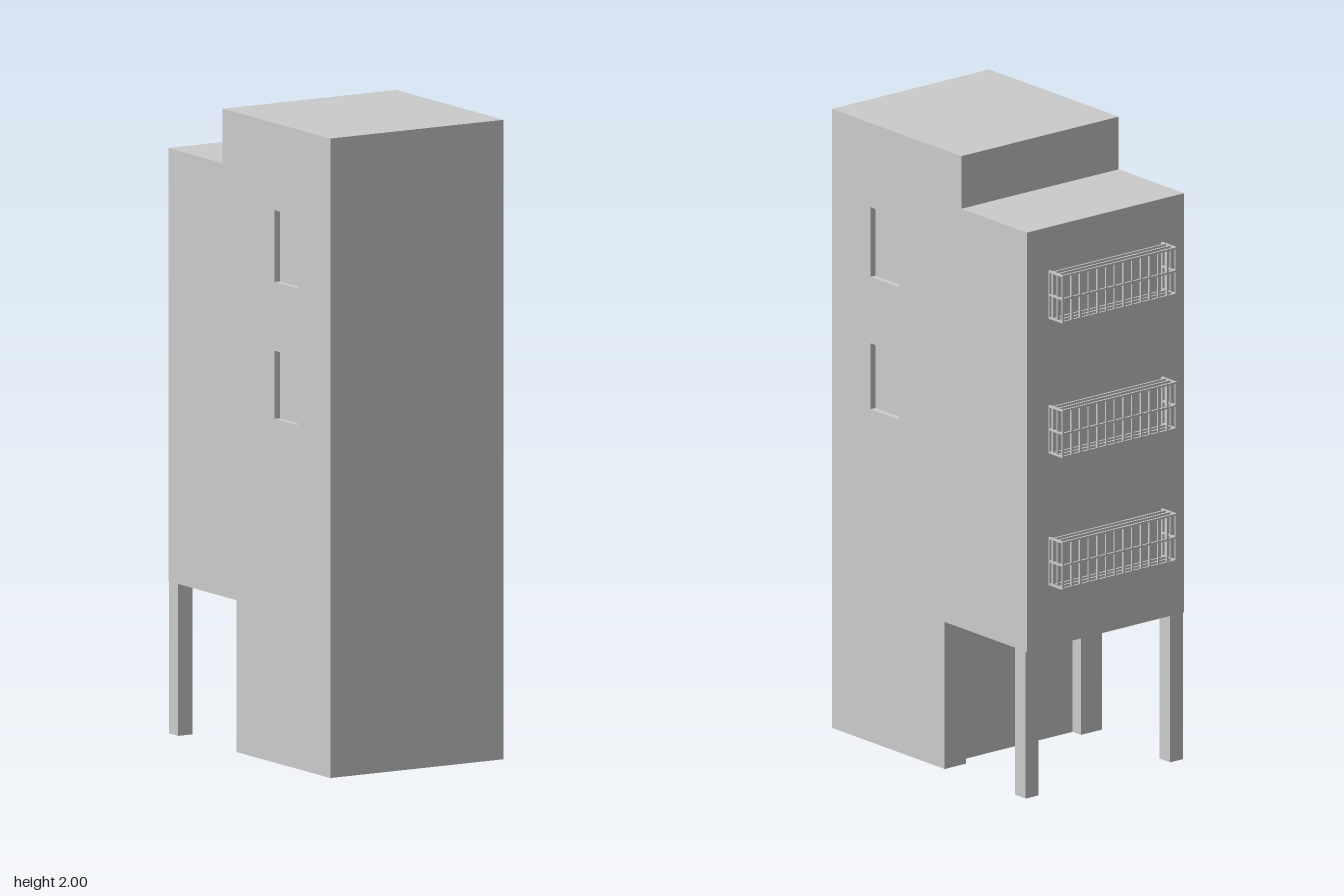
import * as THREE from 'three';

const HALF = 0.315;   // half width of the building
const SKIN = 0.02;    // depth of the side window niches
const FRONT = 0.505, BACK = -0.436;

const material = new THREE.MeshStandardMaterial({ color: 0xcccccc, flatShading: true });
const thinMaterial = new THREE.MeshStandardMaterial({ color: 0xcccccc, flatShading: true, side: THREE.DoubleSide });

function addMesh(parent, geometry, name, mat = material) {
  const mesh = new THREE.Mesh(geometry, mat);
  mesh.name = name;
  parent.add(mesh);
  return mesh;
}

// Box given by its lowest and highest corners
function addBox(parent, name, [x0, y0, z0], [x1, y1, z1]) {
  const mesh = addMesh(parent, new THREE.BoxGeometry(x1 - x0, y1 - y0, z1 - z0), name);
  mesh.position.set((x0 + x1) / 2, (y0 + y1) / 2, (z0 + z1) / 2);
  return mesh;
}

const toShape = (points) => new THREE.Shape(points.map(([a, b]) => new THREE.Vector2(a, b)));

// Side outline of the upper storeys, as (-z, y)
function sideProfile() {
  return toShape([
    [-FRONT, 0.4], [0.04, 0.4], [0.04, 0.475], [-BACK, 0.475],
    [-BACK, 1.83], [0.12, 1.83], [0.12, 2], [-FRONT, 2],
  ]);
}

// Extrudes a side outline along x, starting at x0
function extrudeAcross(shape, x0, width) {
  return new THREE.ExtrudeGeometry(shape, { depth: width, bevelEnabled: false })
    .rotateY(Math.PI / 2).translate(x0, 0, 0);
}

// Railing cage, with its base at y = 0
function createRailing() {
  const cage = new THREE.Group();
  const t = 0.003, x = 0.226, height = 0.155, outer = -0.502;
  const depths = [-0.455, -0.478, outer];

  const bar = (name, a, b) => addBox(cage, name,
    a.map((v, i) => Math.min(v, b[i]) - t), a.map((v, i) => Math.max(v, b[i]) + t));

  // long rails at the top and bottom, and one across the middle
  for (const y of [t, height - t]) {
    for (const z of depths) bar('longRail', [-x, y, z], [x, y, z]);
  }
  bar('middleRail', [-x, height / 2, outer], [x, height / 2, outer]);

  // ends
  for (const side of [-x, x]) {
    for (const y of [t, height / 2, height - t]) bar('endRail', [side, y, BACK], [side, y, outer]);
    for (const z of [BACK - t, ...depths]) bar('endBaluster', [side, t, z], [side, height - t, z]);
  }

  // balusters along the face
  const count = 13;
  for (let i = 1; i < count; i++) {
    const bx = -x + (2 * x * i) / count;
    bar('baluster', [bx, t, outer], [bx, height - t, outer]);
  }
  return cage;
}

export function createModel() {
  const model = new THREE.Group();
  model.name = 'apartmentBuilding';

  // Upper storeys: solid core between two side walls with window niches
  addMesh(model, extrudeAcross(sideProfile(), -HALF + SKIN, 2 * (HALF - SKIN)), 'upperStoreys');
  const wall = sideProfile();
  for (const [y0, y1] of [[1.075, 1.288], [1.503, 1.728]]) {
    wall.holes.push(new THREE.Path([
      [-0.318, y0], [-0.318, y1], [-0.18, y1], [-0.18, y0],
    ].map(([a, b]) => new THREE.Vector2(a, b))));
  }
  addMesh(model, extrudeAcross(wall, HALF - SKIN, SKIN), 'leftWall');
  addMesh(model, extrudeAcross(wall, -HALF, SKIN), 'rightWall');

  // Ground floor: three walls around a hollow, open below
  const plan = toShape([
    [-HALF, -FRONT], [HALF, -FRONT], [HALF, 0.04], [0.23, 0.04],
    [0.23, -0.44], [-0.23, -0.44], [-0.23, 0.04], [-HALF, 0.04],
  ]);
  addMesh(model, new THREE.ExtrudeGeometry(plan, { depth: 0.4, bevelEnabled: false })
    .rotateX(-Math.PI / 2), 'groundFloorWalls');

  // Recessed door closing the hollow
  addMesh(model, new THREE.PlaneGeometry(0.46, 0.4), 'garageDoor', thinMaterial).position.set(0, 0.2, 0);

  // Columns under the overhang
  addBox(model, 'leftColumn', [HALF - 0.052, 0, -0.431], [HALF, 0.475, -0.379]);
  addBox(model, 'rightColumn', [-HALF, 0, -0.431], [-HALF + 0.052, 0.475, -0.379]);

  // One railing per storey
  for (const y of [0.674, 1.1, 1.535]) {
    const railing = createRailing();
    railing.name = 'balconyRailing';
    railing.position.y = y;
    model.add(railing);
  }
  return model;
}
